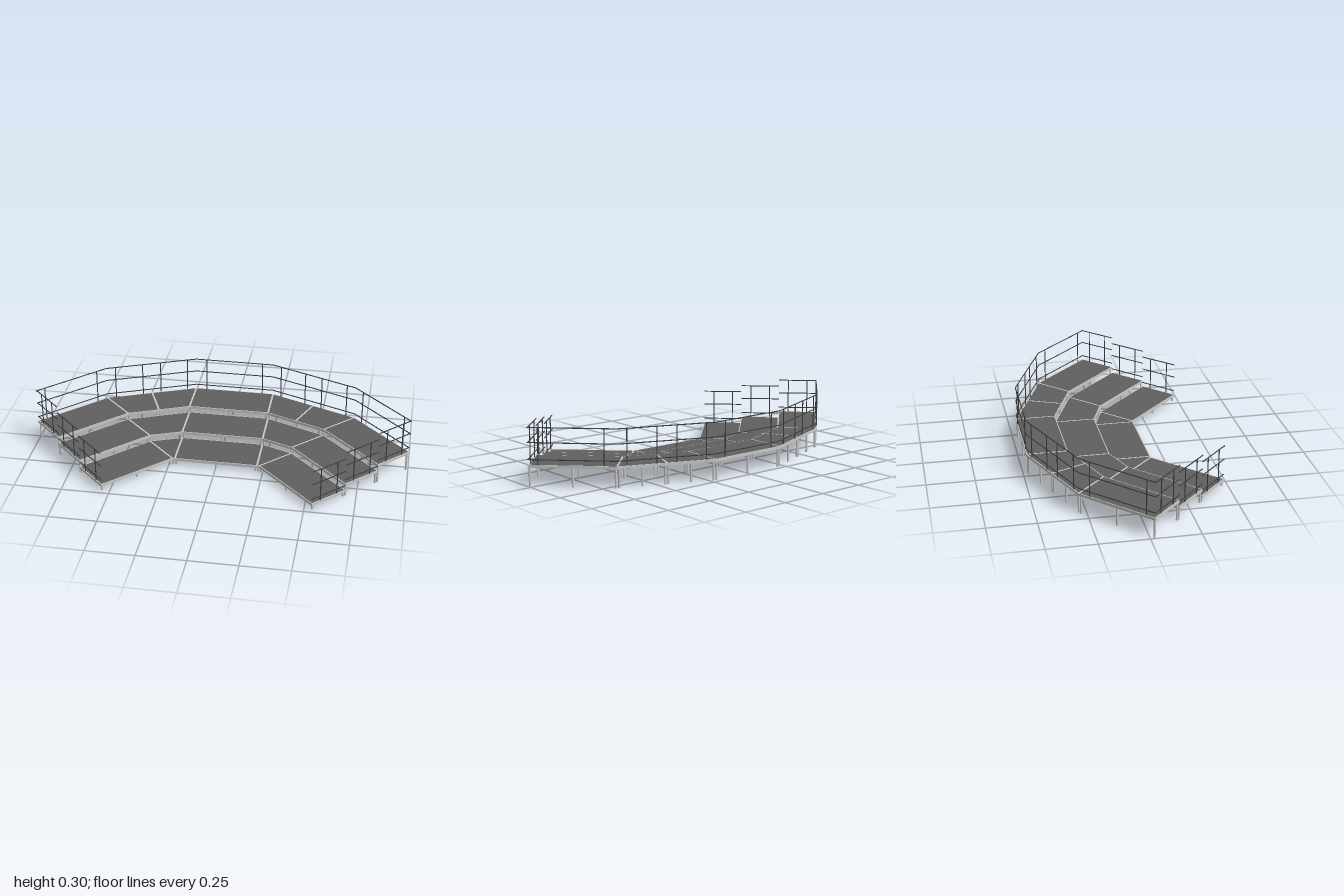
import * as THREE from 'three';

const V = (x, z) => new THREE.Vector2(x, z);
const mid = (a, b) => a.clone().lerp(b, 0.5);

const deckMat = new THREE.MeshStandardMaterial({ color: 0x606060 });
deckMat.name = 'charcoal deck';
const frameMat = new THREE.MeshStandardMaterial({ color: 0xc8c8c8 });
frameMat.name = 'aluminium';
const railMat = new THREE.MeshStandardMaterial({ color: 0x404040 });
railMat.name = 'dark rail';

// Shrinks a convex outline by distance d
function inset(pts, d) {
  const n = pts.length;
  const sign = THREE.ShapeUtils.area(pts) > 0 ? 1 : -1;
  return pts.map((p, i) => {
    const e1 = p.clone().sub(pts[(i + n - 1) % n]).normalize();
    const e2 = pts[(i + 1) % n].clone().sub(p).normalize();
    const n1 = V(-e1.y, e1.x).multiplyScalar(sign);
    const n2 = V(-e2.y, e2.x).multiplyScalar(sign);
    return n1.clone().add(n2).multiplyScalar(d / (1 + n1.dot(n2))).add(p);
  });
}

// Horizontal slab from an x/z outline, standing between y0 and y1
function slab(pts, y0, y1, hole) {
  const flip = (list) => list.map((p) => V(p.x, -p.y));
  const shape = new THREE.Shape(flip(pts));
  if (hole) shape.holes.push(new THREE.Path(flip(hole)));
  const g = new THREE.ExtrudeGeometry(shape, { depth: y1 - y0, bevelEnabled: false });
  return g.rotateX(-Math.PI / 2).translate(0, y0, 0);
}

function add(parent, geometry, material, name) {
  const m = new THREE.Mesh(geometry, material);
  m.name = name;
  parent.add(m);
  return m;
}

// Round bar between two points
function bar(parent, a, b, r, material, name) {
  const d = b.clone().sub(a);
  const m = add(parent, new THREE.CylinderGeometry(r, r, d.length(), 8), material, name);
  m.position.copy(a).lerp(b, 0.5);
  m.quaternion.setFromUnitVectors(new THREE.Vector3(0, 1, 0), d.normalize());
}

const at = (p, y) => new THREE.Vector3(p.x, y, p.y);

// Platform outline order: back start, back end, front end, front start
function platform(parent, pts, top, name) {
  const g = new THREE.Group();
  g.name = name;
  parent.add(g);
  const inner = inset(pts, 0.008);
  add(g, slab(pts, top - 0.015, top - 0.0008, inner), frameMat, 'frame');
  add(g, slab(inset(pts, 0.005), top - 0.007, top), deckMat, 'deckPanel');
  const feet = [...inner];
  for (const i of [0, 2]) {
    const a = inner[i], b = inner[(i + 1) % 4];
    if (a.distanceTo(b) > 0.2) feet.push(mid(a, b));
  }
  for (const f of feet) bar(g, at(f, 0), at(f, top - 0.008), 0.0055, frameMat, 'leg');
}

// Guard rail with three bars and two posts
function railing(parent, a, b, top, posts, name) {
  const g = new THREE.Group();
  g.name = name;
  parent.add(g);
  for (const h of [0.025, 0.11, 0.185]) bar(g, at(a, top + h), at(b, top + h), 0.0028, railMat, 'railBar');
  for (const t of posts) {
    const p = a.clone().lerp(b, t);
    bar(g, at(p, top), at(p, top + 0.185), 0.0028, railMat, 'railPost');
  }
}

export function createModel() {
  const model = new THREE.Group();
  model.name = 'tieredStage';
  const tops = [0.11, 0.074, 0.038]; // back, middle, front tier
  const rowZ = [-0.48, -0.265, -0.047, 0.17];
  const seamX = 0.219;

  // Centre platforms
  for (let k = 0; k < 3; k++) {
    platform(model, [V(-seamX, rowZ[k]), V(seamX, rowZ[k]), V(seamX, rowZ[k + 1]), V(-seamX, rowZ[k + 1])],
      tops[k], 'centrePlatform');
  }
  railing(model, V(-seamX, -0.477), V(seamX, -0.477), tops[0], [0.14, 0.86], 'backRailing');

  for (const s of [1, -1]) {
    const side = new THREE.Group();
    side.name = s > 0 ? 'leftSide' : 'rightSide';
    model.add(side);

    // Tier boundaries at the centre seam, the diagonal seam and the wing end
    const seam = rowZ.map((z) => V(s * seamX, z));
    const diag = [0, 1, 2, 3].map((k) => V(s * (0.69 - 0.153 * k), -0.289 + 0.153 * k));
    const end = diag.map((p) => V(p.x + s * 0.31, p.y + 0.31));

    for (let k = 0; k < 3; k++) {
      // Wedge platforms; the back one is made of two halves
      if (k === 0) {
        const m0 = mid(seam[0], diag[0]), m1 = mid(seam[1], diag[1]);
        platform(side, [seam[0], m0, m1, seam[1]], tops[0], 'wedgePlatform');
        platform(side, [m0, diag[0], diag[1], m1], tops[0], 'wedgePlatform');
      } else {
        platform(side, [seam[k], diag[k], diag[k + 1], seam[k + 1]], tops[k], 'wedgePlatform');
      }
      // Wing platforms and their end railings
      platform(side, [diag[k], end[k], end[k + 1], diag[k + 1]], tops[k], 'wingPlatform');
      const shift = V(-s * 0.002, -0.002);
      railing(side, end[k].clone().add(shift), end[k + 1].clone().add(shift), tops[k], [0.25, 0.75], 'endRailing');
    }

    // Railings along the back edge
    const inward = V(-s * 0.001, 0.003);
    const [a, b, c] = [seam[0], diag[0], end[0]].map((p) => p.clone().add(inward));
    const m = mid(a, b);
    railing(side, a, m, tops[0], [0.2, 0.8], 'wedgeRailing');
    railing(side, m, b, tops[0], [0.2, 0.8], 'wedgeRailing');
    railing(side, b, c, tops[0], [0.14, 0.88], 'wingRailing');
  }
  return model;
}
